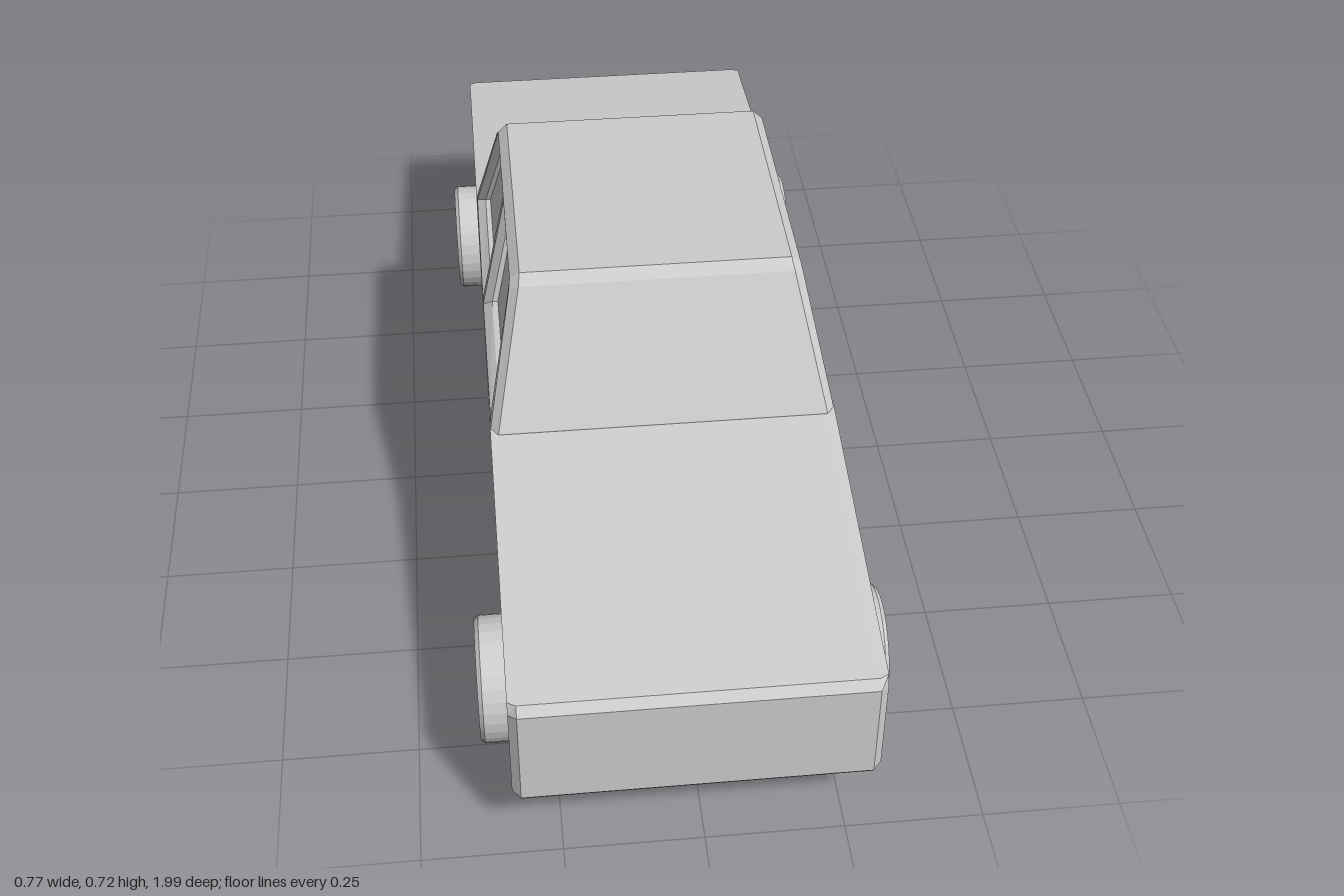
import * as THREE from 'three';

const BEVEL = 0.015;
const HALF = 0.322; // half width of the body

const outline = (Kind, pts) => {
  const s = new Kind();
  s.setFromPoints(pts.map(([z, y]) => new THREE.Vector2(z, y)));
  return s;
};

// Side profile in (z, y), extruded across the car and centred on x = 0
function extrudeAcross(shape, half, bevel) {
  const geo = new THREE.ExtrudeGeometry(shape, {
    depth: 2 * (half - bevel),
    bevelEnabled: bevel > 0,
    bevelThickness: bevel,
    bevelSize: bevel,
    bevelOffset: -bevel,
    bevelSegments: 1,
  });
  geo.translate(0, 0, -(half - bevel));
  geo.rotateY(-Math.PI / 2);
  return geo;
}

function moveVertices(geo, rule) {
  const p = geo.attributes.position;
  const v = new THREE.Vector3();
  for (let i = 0; i < p.count; i++) {
    v.fromBufferAttribute(p, i);
    rule(v);
    p.setXYZ(i, v.x, v.y, v.z);
  }
  geo.computeVertexNormals();
  return geo;
}

// The cabin sides lean inwards above the waistline
const leanIn = (v) => {
  v.x -= Math.sign(v.x) * 0.052 * Math.max(0, (v.y - 0.46) / 0.24);
};

export function createModel() {
  const car = new THREE.Group();
  car.name = 'car';

  const paint = new THREE.MeshStandardMaterial({ color: 0xcccccc, flatShading: true });
  paint.name = 'greyPaint';
  const yellow = new THREE.MeshStandardMaterial({ color: 0xe0d000 });
  yellow.name = 'yellowLamp';

  const add = (name, geo, mat) => {
    const mesh = new THREE.Mesh(geo, mat);
    mesh.name = name;
    car.add(mesh);
    return mesh;
  };

  // Lower body with wheel arches
  const bodyProfile = outline(THREE.Shape, [
    [0.99, 0.135], [0.99, 0.337], [0.975, 0.353], [0.4, 0.46], [-0.39, 0.46],
    [-0.945, 0.4], [-0.957, 0.388], [-0.957, 0.152], [-0.68, 0.295],
    [-0.4, 0.143], [0.41, 0.143], [0.7, 0.285], [0.982, 0.124],
  ]);
  const body = extrudeAcross(bodyProfile, HALF, BEVEL);
  // Keep the upper side edges sharp
  moveVertices(body, (v) => {
    if (Math.abs(v.x) > HALF - 0.001 && v.y > 0.333) v.y += BEVEL;
  });
  add('body', body, paint);

  // Cabin shell with two window openings on each side
  const cabinProfile = outline(THREE.Shape, [
    [0.41, 0.43], [0.41, 0.46], [0.283, 0.7], [0.26, 0.716],
    [-0.25, 0.716], [-0.27, 0.7], [-0.39, 0.46], [-0.39, 0.43],
  ]);
  cabinProfile.holes.push(
    outline(THREE.Path, [[0.03, 0.48], [0.35, 0.48], [0.25, 0.685], [0.02, 0.685]]),
    outline(THREE.Path, [[-0.02, 0.48], [-0.03, 0.685], [-0.235, 0.685], [-0.33, 0.48]]),
  );
  add('cabin', moveVertices(extrudeAcross(cabinProfile, HALF, BEVEL), leanIn), paint);

  // Recessed side windows
  const windowProfile = outline(THREE.Shape, [
    [0.37, 0.45], [0.36, 0.48], [0.255, 0.695], [-0.24, 0.695], [-0.34, 0.48], [-0.34, 0.45],
  ]);
  add('sideWindows', moveVertices(extrudeAcross(windowProfile, HALF - 0.025, 0), leanIn), paint);

  // Wheels: slightly oval drums with chamfered rims
  const wheelProfile = [
    [0, -0.075], [0.115, -0.075], [0.122, -0.067], [0.122, 0.067], [0.115, 0.075], [0, 0.075],
  ].map(([r, y]) => new THREE.Vector2(r, y));
  const wheelGeo = new THREE.LatheGeometry(wheelProfile, 32);
  wheelGeo.rotateZ(Math.PI / 2);
  wheelGeo.scale(1, 1, 0.91);
  const wheels = [
    ['frontLeftWheel', 0.298, 0.123, 0.69],
    ['frontRightWheel', -0.297, 0.127, 0.703],
    ['rearLeftWheel', 0.322, 0.134, -0.672],
    ['rearRightWheel', -0.297, 0.137, -0.686],
  ];
  for (const [name, x, y, z] of wheels) add(name, wheelGeo, paint).position.set(x, y, z);

  // Round rear lamps
  const lampGeo = new THREE.SphereGeometry(0.043, 24, 16);
  for (const [name, x] of [['leftLamp', 0.195], ['rightLamp', -0.195]]) {
    add(name, lampGeo, yellow).position.set(x, 0.242, -0.956);
  }

  // Body sits slightly off the centre line
  for (const part of car.children) {
    if (!part.name.endsWith('Wheel')) part.position.x -= 0.012;
    else part.position.x -= 0.013;
  }
  return car;
}
